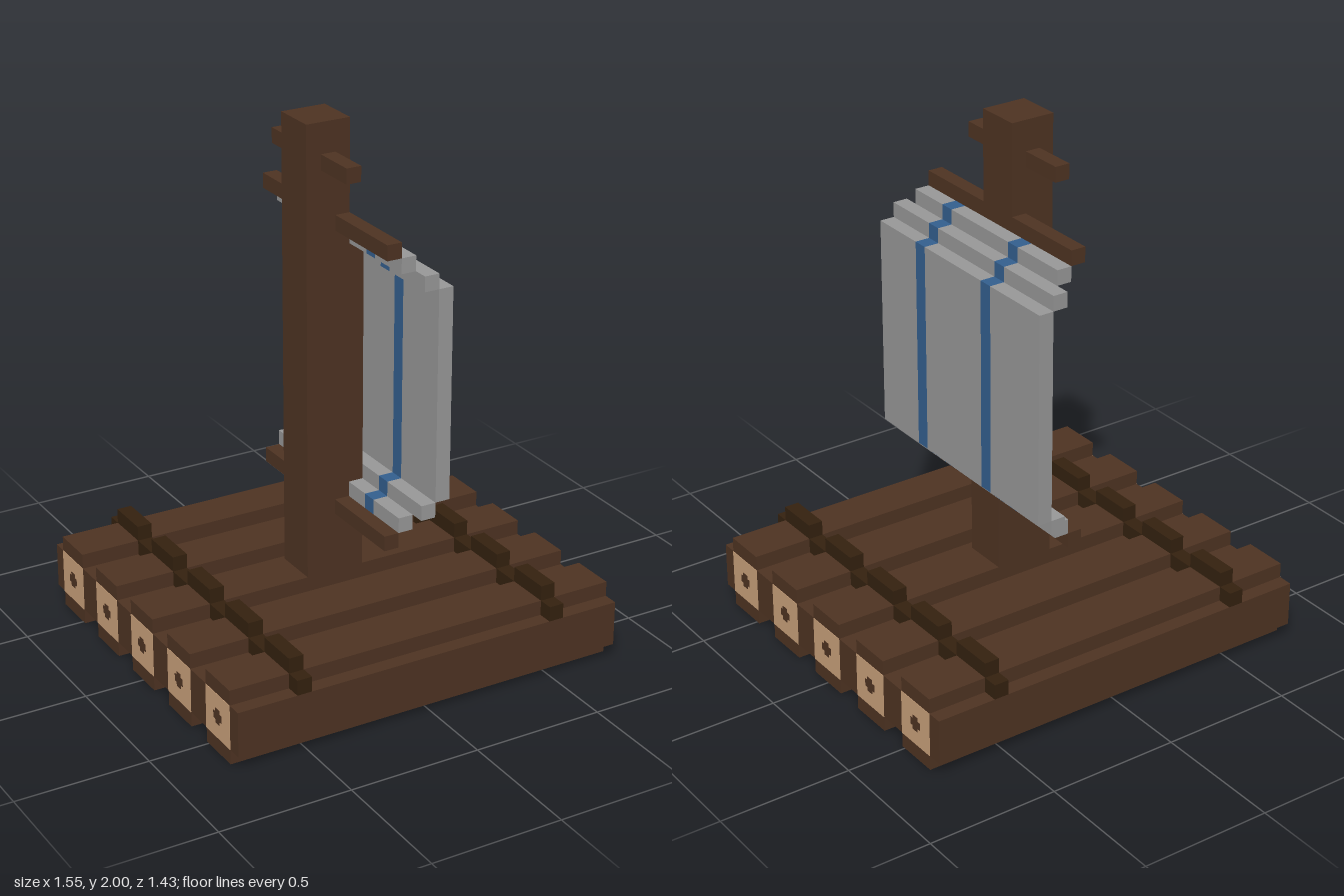
import * as THREE from 'three';

const V = 2 / 35; // one block unit

const mat = (name, color) => {
  const m = new THREE.MeshStandardMaterial({ color });
  m.name = name;
  return m;
};

export function createModel() {
  const wood = mat('brown wood', 0x4e3322);
  const rope = mat('dark rope', 0x34210f);
  const cutWood = mat('pale cut wood', 0xc9a17b);
  const cloth = mat('grey cloth', 0x989898);
  const blue = mat('blue stripe', 0x335f8f);

  const raft = new THREE.Group();
  raft.name = 'raft';

  // Box from its extents in block units
  const block = (parent, name, material, [x0, x1], [y0, y1], [z0, z1]) => {
    const geo = new THREE.BoxGeometry((x1 - x0) * V, (y1 - y0) * V, (z1 - z0) * V);
    const mesh = new THREE.Mesh(geo, material);
    mesh.position.set((x0 + x1) * V / 2, (y0 + y1) * V / 2, (z0 + z1) * V / 2);
    mesh.name = name;
    parent.add(mesh);
    return mesh;
  };
  const group = (name) => {
    const g = new THREE.Group();
    g.name = name;
    raft.add(g);
    return g;
  };

  // Logs: notched square section run along x
  const section = new THREE.Shape([
    [-1.5, 0], [1.5, 0], [1.5, 1], [2.5, 1], [2.5, 4], [1.5, 4],
    [1.5, 5], [-1.5, 5], [-1.5, 4], [-2.5, 4], [-2.5, 1], [-1.5, 1],
  ].map(([x, y]) => new THREE.Vector2(x * V, y * V)));
  const logGeo = new THREE.ExtrudeGeometry(section, { depth: 27 * V, bevelEnabled: false });
  logGeo.translate(0, 0, -13.5 * V).rotateY(Math.PI / 2);

  const logs = group('logs');
  const lashings = group('lashings');
  for (let i = -2; i <= 2; i++) {
    const z = i * 5;
    const log = new THREE.Mesh(logGeo, wood);
    log.name = 'log';
    log.position.z = z * V;
    logs.add(log);

    for (const s of [-1, 1]) {
      // Cut end with a small cross-shaped heart
      const plate = (t) => [s * 13.5 - t, s * 13.5 + t];
      block(logs, 'logEnd', cutWood, plate(0.03), [1, 4], [z - 1.5, z + 1.5]);
      block(logs, 'logHeart', wood, plate(0.06), [2, 3], [z - 0.25, z + 0.25]);
      block(logs, 'logHeart', wood, plate(0.055), [2.25, 2.75], [z - 0.5, z + 0.5]);

      // Rope stepping over the log and down into the grooves beside it
      const rx = [s * 9 - 0.5, s * 9 + 0.5];
      block(lashings, 'ropeOver', rope, rx, [5, 6], [z - 1.5, z + 1.5]);
      for (const e of [-1, 1]) {
        block(lashings, 'ropeInGroove', rope, rx, [4, 5], [z + e * 2 - 0.5, z + e * 2 + 0.5]);
      }
    }
  }

  // Mast with a thicker lower front
  const mast = group('mast');
  block(mast, 'mastPole', wood, [-2.5, 0.5], [5, 35], [-1.5, 1.5]);
  block(mast, 'mastFront', wood, [0.5, 1.5], [5, 27], [-1.5, 1.5]);
  block(mast, 'crossbar', wood, [-1.5, -0.5], [32, 33], [-4.5, 4.5]);
  block(mast, 'upperYard', wood, [-0.5, 0.5], [28, 29], [-7.5, 7.5]);
  block(mast, 'lowerYard', wood, [-0.5, 0.5], [9, 10], [-7.5, 7.5]);

  // Billowing sail: stepped slabs, each divided by two blue stripes
  const sail = group('sail');
  const slabs = [
    [[0.5, 1.5], [27, 28], 7.5],
    [[1.5, 2.5], [26, 27], 8.5],
    [[2.5, 3.5], [12, 26], 8.5],
    [[1.5, 2.5], [11, 12], 8.5],
    [[0.5, 1.5], [10, 11], 7.5],
  ];
  for (const [x, y, half] of slabs) {
    const cuts = [-half, -3.5, -2.5, 3.5, 4.5, half];
    for (let i = 0; i < 5; i++) {
      const striped = i % 2 === 1;
      block(sail, striped ? 'sailStripe' : 'sailCloth', striped ? blue : cloth, x, y, [cuts[i], cuts[i + 1]]);
    }
  }

  return raft;
}
